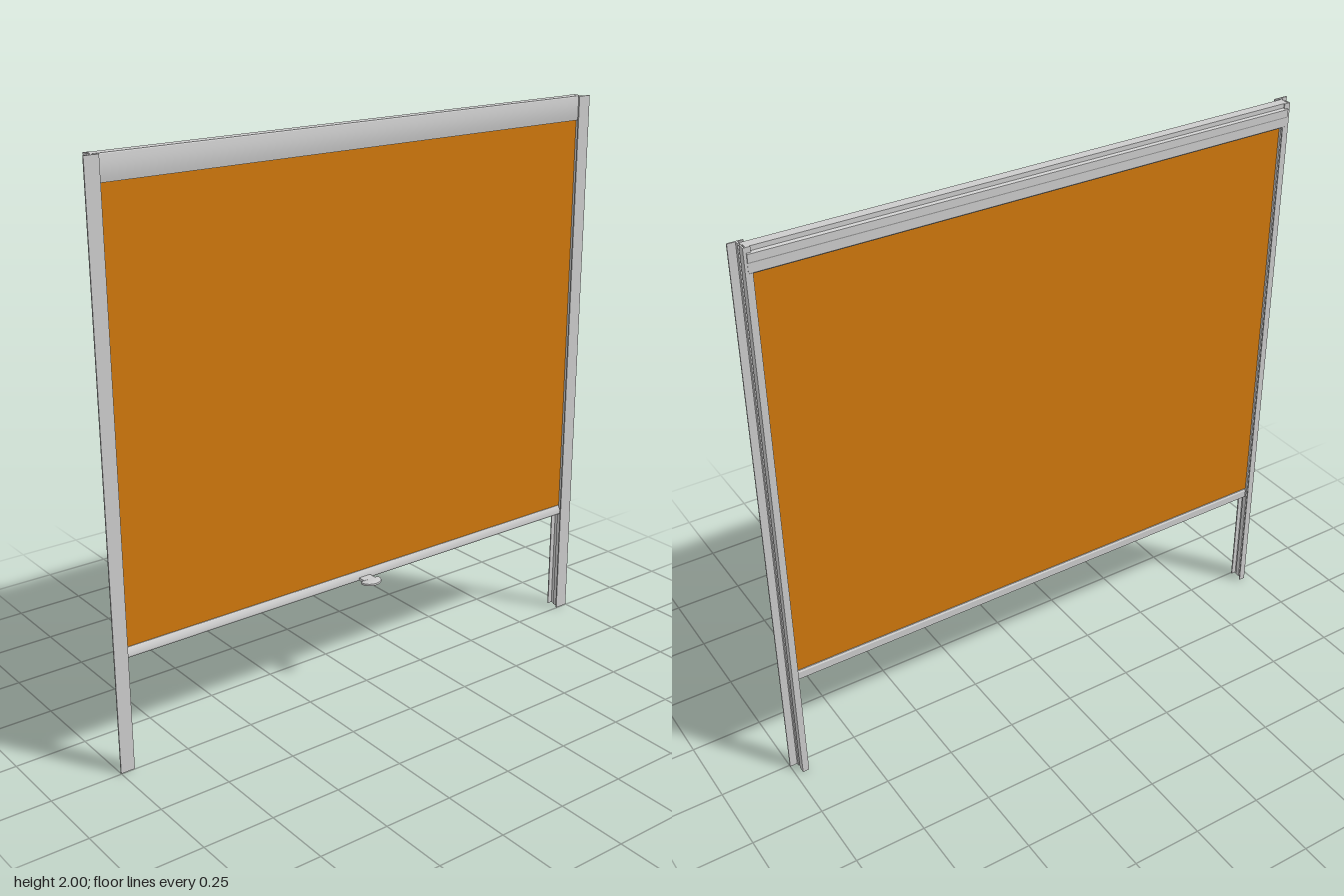
import * as THREE from 'three';
import { toCreasedNormals } from 'three/addons/utils/BufferGeometryUtils.js';

const aluminium = new THREE.MeshStandardMaterial({ color: 0xcccccc });
aluminium.name = 'aluminium';
const fabricOrange = new THREE.MeshStandardMaterial({ color: 0xd0780c });
fabricOrange.name = 'orange fabric';

const shapeOf = (points) => new THREE.Shape(points.map(([a, b]) => new THREE.Vector2(a, b)));

// Extrude a [z, y] section along x, centred
function alongX(points, width) {
  const geo = new THREE.ExtrudeGeometry(shapeOf(points.map(([z, y]) => [-z, y])), { depth: width, bevelEnabled: false });
  geo.rotateY(Math.PI / 2).translate(-width / 2, 0, 0);
  return toCreasedNormals(geo, 0.5);
}

// Extrude an [x, z] section upwards from the ground
function alongY(points, height) {
  const geo = new THREE.ExtrudeGeometry(shapeOf(points.map(([x, z]) => [x, -z])), { depth: height, bevelEnabled: false });
  return geo.rotateX(-Math.PI / 2);
}

export function createModel() {
  const model = new THREE.Group();
  model.name = 'rollerScreen';
  const add = (name, geo, mat) => {
    const mesh = new THREE.Mesh(geo, mat);
    mesh.name = name;
    model.add(mesh);
    return mesh;
  };

  // Side rails: wide front flange, channel open inwards, groove on the outside
  const rail = [
    [0.95, -0.002], [1, -0.002], [1, -0.007], [0.974, -0.007],
    [0.974, -0.019], [0.968, -0.019], [0.968, -0.029], [0.974, -0.029],
    [0.974, -0.054], [0.951, -0.054], [0.951, -0.05], [0.969, -0.05],
    [0.969, -0.033], [0.963, -0.033], [0.963, -0.015], [0.967, -0.015],
    [0.967, -0.007], [0.95, -0.007],
  ];
  for (const [name, s] of [['leftRail', 1], ['rightRail', -1]]) {
    add(name, alongY(rail.map(([x, z]) => [s * x, z]), 2), aluminium);
  }

  // Cassette with a gently bowed front and a stepped back
  const front = [];
  for (let i = 0; i <= 8; i++) {
    const t = i / 8;
    front.push([-0.017 + 0.008 * Math.sin(Math.PI * (0.15 + 0.7 * t)), 1.915 + 0.082 * t]);
  }
  add('cassette', alongX([
    ...front, [-0.016, 2], [-0.05, 2], [-0.05, 1.985], [-0.058, 1.98],
    [-0.058, 1.955], [-0.055, 1.95], [-0.055, 1.92], [-0.05, 1.915],
  ], 1.93), aluminium);

  // Fabric sheet
  const fabric = add('fabric', new THREE.BoxGeometry(1.92, 1.5, 0.003), fabricOrange);
  fabric.position.set(0, 1.17, -0.026);

  // Bottom bar with a sloping upper edge
  add('bottomBar', alongX([
    [-0.035, 0.398], [-0.014, 0.398], [-0.011, 0.404], [-0.012, 0.415],
    [-0.018, 0.427], [-0.022, 0.431], [-0.031, 0.431], [-0.035, 0.425],
  ], 1.91), aluminium);

  // Pull handle: stem and a thin rounded tongue
  const stem = add('handleStem', new THREE.BoxGeometry(0.048, 0.01, 0.034), aluminium);
  stem.position.set(0, 0.405, 0);
  const tongue = new THREE.Shape();
  tongue.moveTo(-0.025, -0.01);
  tongue.lineTo(0.025, -0.01);
  tongue.quadraticCurveTo(0.041, -0.012, 0.04, -0.022);
  tongue.bezierCurveTo(0.036, -0.045, 0.018, -0.055, 0, -0.055);
  tongue.bezierCurveTo(-0.018, -0.055, -0.036, -0.045, -0.04, -0.022);
  tongue.quadraticCurveTo(-0.041, -0.012, -0.025, -0.01);
  const tongueGeo = new THREE.ExtrudeGeometry(tongue, {
    depth: 0.003, bevelThickness: 0.003, bevelSize: 0.003, bevelOffset: -0.003, bevelSegments: 2, curveSegments: 10,
  });
  tongueGeo.rotateX(-Math.PI / 2).translate(0, 0.4035, 0.003);
  add('handleTongue', toCreasedNormals(tongueGeo, 0.6), aluminium);

  return model;
}
